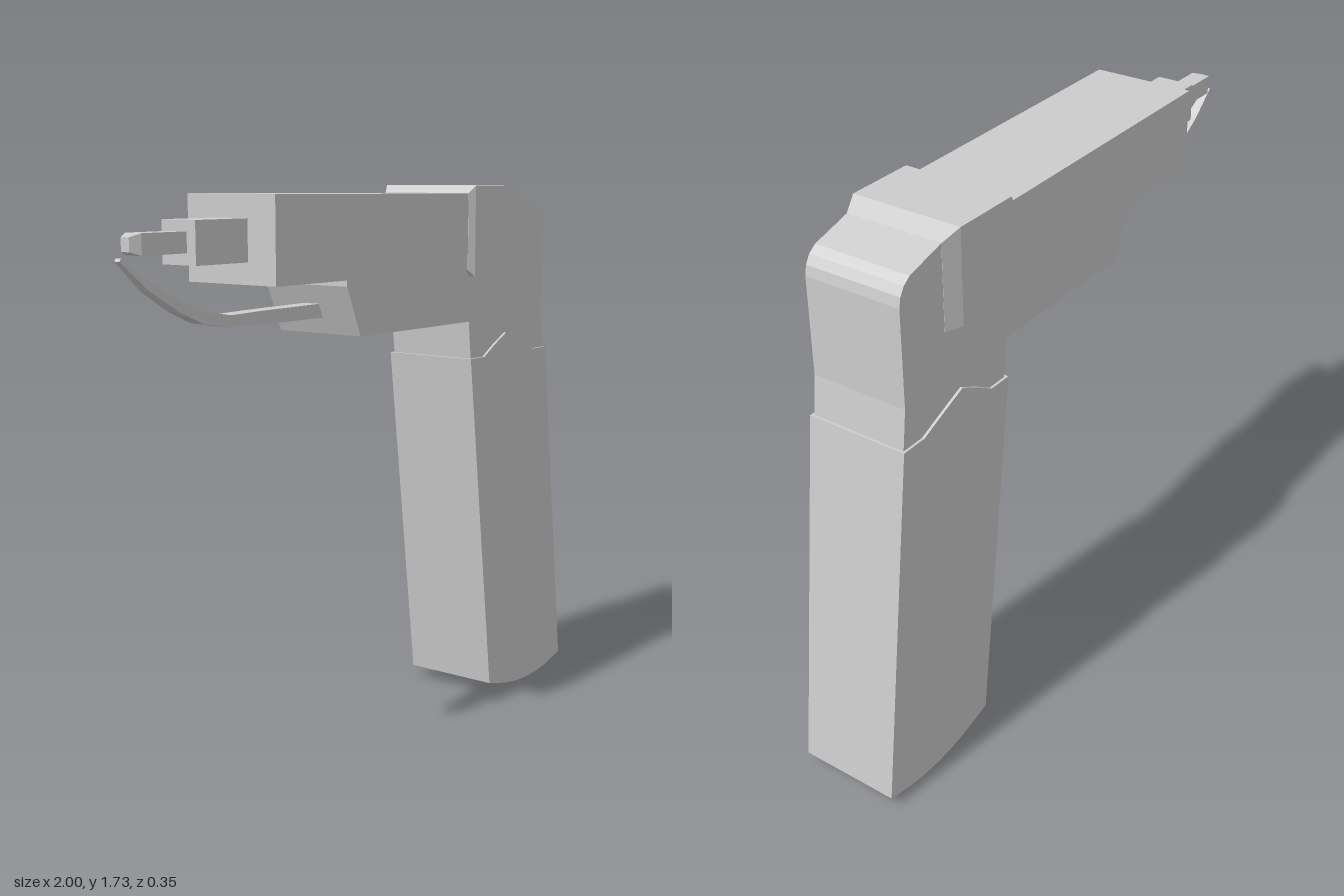
import * as THREE from 'three';

const material = new THREE.MeshStandardMaterial({ color: 0xcccccc, flatShading: true });
const Z = -0.003; // common centre plane

function add(group, name, geometry) {
  const mesh = new THREE.Mesh(geometry, material);
  mesh.name = name;
  mesh.position.z = Z;
  group.add(mesh);
}

// Side outline (x, y) extruded symmetrically across z
function slab(points, halfWidth) {
  const shape = new THREE.Shape(points.map(([x, y]) => new THREE.Vector2(x, y)));
  const geometry = new THREE.ExtrudeGeometry(shape, { depth: 2 * halfWidth, bevelEnabled: false });
  return geometry.translate(0, 0, -halfWidth);
}

// Closed solid from rectangular sections joined along x:
// [xBottom, yBottom, xTop, yTop, halfWidth]
function loft(sections) {
  const positions = [], index = [];
  for (const [xb, yb, xt, yt, w] of sections) {
    positions.push(xb, yb, -w, xb, yb, w, xt, yt, w, xt, yt, -w);
  }
  for (let s = 0; s < sections.length - 1; s++) {
    for (let i = 0; i < 4; i++) {
      const a = s * 4 + i, b = s * 4 + (i + 1) % 4;
      index.push(a, a + 4, b, b, a + 4, b + 4);
    }
  }
  const e = (sections.length - 1) * 4;
  index.push(0, 1, 2, 0, 2, 3, e, e + 2, e + 1, e, e + 3, e + 2);
  const geometry = new THREE.BufferGeometry();
  geometry.setAttribute('position', new THREE.Float32BufferAttribute(positions, 3));
  geometry.setIndex(index);
  const flat = geometry.toNonIndexed();
  flat.computeVertexNormals();
  return flat;
}

// Upright section shorthand for loft
const section = (x, y0, y1, w) => [x, y0, x, y1, w];

export function createModel() {
  const group = new THREE.Group();

  // Slanted grip with a peaked top edge and a bowed base
  add(group, 'grip', slab([
    [0.39, 1.18], [0.535, 0.04], [0.59, 0.025], [0.65, 0.012], [0.72, 0.002], [0.78, 0],
    [0.85, 0.004], [0.92, 0.016], [1, 0.038], [0.855, 1.18], [0.77, 1.18], [0.675, 1.22],
    [0.60, 1.25], [0.53, 1.215], [0.47, 1.18],
  ], 0.162));

  // Housing: rounded rear shoulder, neck into the grip, underslung fore-end
  add(group, 'housing', slab([
    [-0.247, 1.5], [-0.247, 1.45], [-0.183, 1.301], [0.387, 1.301], [0.41, 1.1], [0.855, 1.1],
    [0.847, 1.18], [0.832, 1.30], [0.832, 1.595], [0.826, 1.625], [0.811, 1.65], [0.786, 1.668],
    [0.66, 1.703], [0.62, 1.718], [0.42, 1.718], [0.42, 1.5],
  ], 0.154));

  // Square barrel
  add(group, 'barrel', loft([
    section(-0.57, 1.469, 1.717, 0.163), section(0.43, 1.469, 1.708, 0.163),
  ]));

  // Raised collar, chamfered at both ends
  add(group, 'collar', loft([
    section(0.362, 1.469, 1.71, 0.164), section(0.385, 1.447, 1.733, 0.176),
    section(0.605, 1.447, 1.733, 0.176), section(0.658, 1.447, 1.704, 0.155),
  ]));

  // Stepped nozzle
  add(group, 'nozzleBase', loft([
    section(-0.775, 1.531, 1.651, 0.062), section(-0.56, 1.531, 1.651, 0.062),
  ]));
  add(group, 'nozzleTip', loft([
    section(-0.97, 1.573, 1.611, 0.015), section(-0.94, 1.563, 1.621, 0.03),
    section(-0.765, 1.563, 1.621, 0.03),
  ]));

  // Curved guide strip, thinning toward its end
  add(group, 'guideStrip', loft([
    [-1, 1.55, -0.994, 1.558, 0.01], [-0.905, 1.47, -0.89, 1.487, 0.018],
    [-0.80, 1.408, -0.785, 1.432, 0.023], [-0.71, 1.370, -0.70, 1.402, 0.026],
    [-0.61, 1.354, -0.605, 1.387, 0.028], [-0.48, 1.352, -0.48, 1.39, 0.028],
    [-0.15, 1.35, -0.15, 1.394, 0.028],
  ]));

  return group;
}
